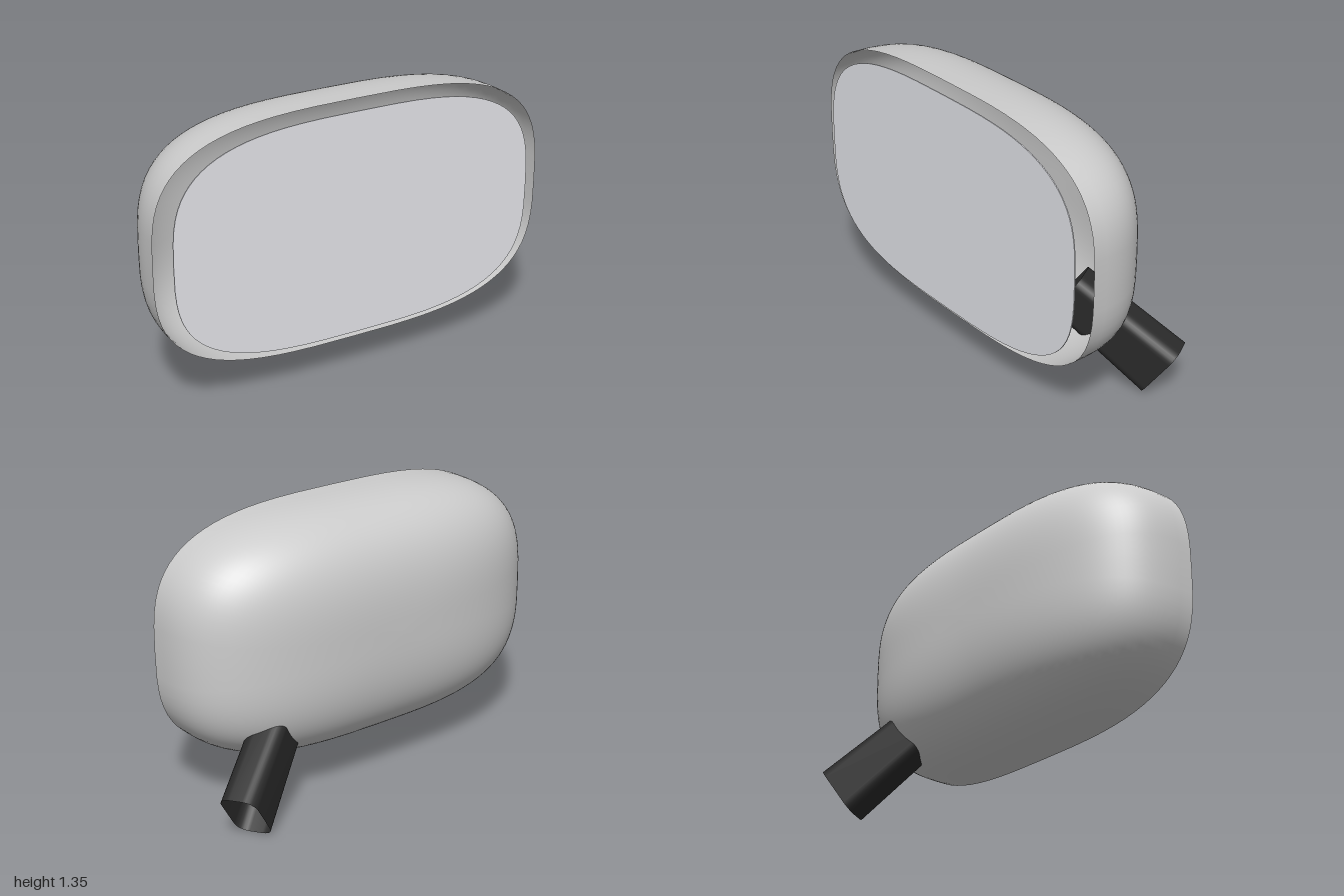
import * as THREE from 'three';

const CENTRE_Y = 0.757;
const OUTLINE_POWER = 3.2;

// Closed superellipse outline, counter-clockwise seen from +z
function outline(halfW, halfH, count) {
  const curve = (c) => Math.sign(c) * Math.abs(c) ** (2 / OUTLINE_POWER);
  return Array.from({ length: count }, (_, j) => {
    const a = (j / count) * Math.PI * 2;
    return new THREE.Vector2(halfW * curve(Math.cos(a)), halfH * curve(Math.sin(a)));
  });
}

// Skin over a row of closed rings with equal point counts
function loft(rings) {
  const n = rings[0].length;
  const index = [];
  for (let i = 0; i < rings.length - 1; i++) {
    for (let j = 0; j < n; j++) {
      const a = i * n + j, b = i * n + ((j + 1) % n);
      index.push(a, a + n, b, b, a + n, b + n);
    }
  }
  const geometry = new THREE.BufferGeometry().setFromPoints(rings.flat());
  geometry.setIndex(index);
  geometry.computeVertexNormals();
  return geometry;
}

function addMesh(group, name, geometry, color) {
  const material = new THREE.MeshStandardMaterial({ color, side: THREE.DoubleSide });
  const mesh = new THREE.Mesh(geometry, material);
  mesh.name = name;
  group.add(mesh);
  return mesh;
}

export function createModel() {
  const group = new THREE.Group();
  group.name = 'wingMirror';

  // Housing: hollow rounded bowl, open at the front
  const rim = outline(1, 0.588, 80);
  const steps = 28, bowlPower = 2.9;
  const rings = [];
  for (let i = 0; i <= steps; i++) {
    const t = (i / steps) * Math.PI / 2;
    const r = i === steps ? 0.001 : Math.cos(t) ** (2 / bowlPower);
    const z = 0.297 - 0.522 * Math.sin(t) ** (2 / bowlPower);
    rings.push(rim.map((p) => new THREE.Vector3(p.x * r, p.y * r, z)));
  }
  addMesh(group, 'housing', loft(rings), 0xcccccc).position.y = CENTRE_Y;

  // Mirror glass: thin flat pane just ahead of the rim
  const pane = new THREE.ExtrudeGeometry(new THREE.Shape(outline(0.92, 0.543, 80)),
    { depth: 0.005, bevelEnabled: false });
  addMesh(group, 'mirrorGlass', pane, 0xe4e5ea).position.set(0, CENTRE_Y, 0.33);

  // Mounting arm: open rounded-rectangle tube, narrowing into the housing
  const axis = new THREE.Vector3(-1, 0.85, 0.63).normalize();
  const long = new THREE.Vector3(0.139, 0.215, -0.07).normalize();
  const short = new THREE.Vector3().crossVectors(axis, long).normalize();
  const w = 0.147, h = 0.088, r = 0.058;
  const section = [];
  [[1, 1], [-1, 1], [-1, -1], [1, -1]].forEach(([sx, sy], k) => {
    for (let i = 0; i <= 6; i++) {
      const a = (k + i / 6) * Math.PI / 2;
      section.push([sx * (w - r) + r * Math.cos(a), sy * (h - r) + r * Math.sin(a)]);
    }
  });
  const foot = new THREE.Vector3(0.895, 0.117, -0.228);
  const armRings = [[0.55, 0.8], [0, 1]].map(([d, taper]) => section.map(([u, v]) => foot.clone()
    .addScaledVector(axis, d).addScaledVector(long, u * taper).addScaledVector(short, v)));
  addMesh(group, 'mountingArm', loft(armRings), 0x2a2a2a);

  return group;
}
